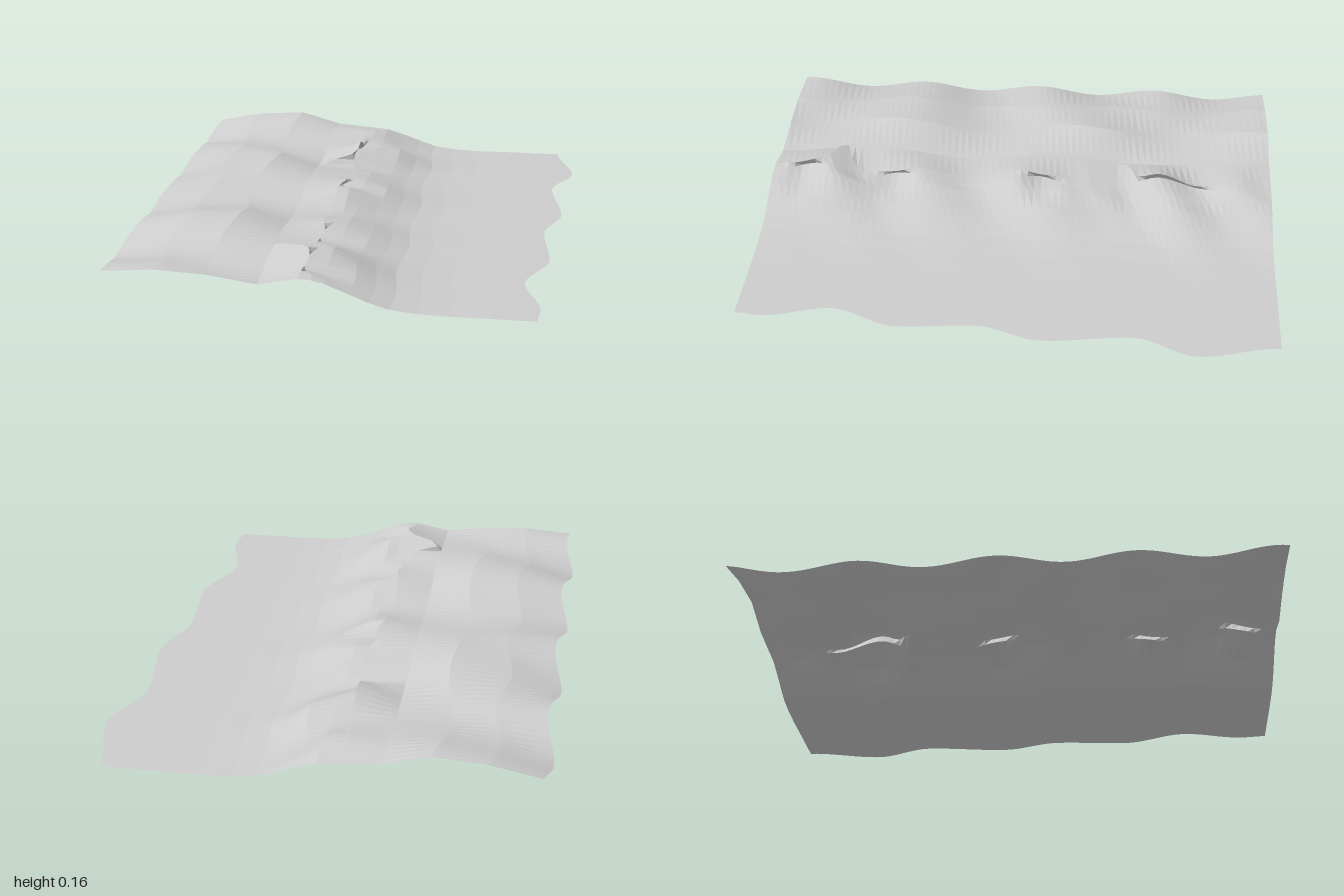
import * as THREE from 'three';

// smooth value along z through [z, value] pairs sorted by rising z
function track(points) {
  return (z) => {
    const n = points.length;
    let i = 0;
    while (i < n - 2 && z > points[i + 1][0]) i++;
    const [z0, v0] = points[i], [z1, v1] = points[i + 1];
    const t = THREE.MathUtils.clamp((z - z0) / (z1 - z0), 0, 1);
    return v0 + (v1 - v0) * t * t * (3 - 2 * t);
  };
}

const wave = (z, peak, period) => Math.cos((2 * Math.PI * (z - peak)) / period);
const bump = (z, centre, width) => Math.exp(-(((z - centre) / width) ** 2));

// height of the breaking crest along the shore
const crest = track([[-1, 0.1], [-0.87, 0.12], [-0.72, 0.1], [-0.55, 0.155], [-0.38, 0.085],
  [-0.25, 0.1], [-0.03, 0.135], [0.2, 0.085], [0.42, 0.125], [0.62, 0.1], [0.8, 0.16], [1, 0.115]]);
// how far the crest curls over
const curl = track([[-0.85, 0], [-0.65, 1], [-0.45, 0.8], [-0.35, 0], [-0.2, 0], [-0.08, 1], [0.02, 0],
  [0.4, 0], [0.5, 1], [0.62, 0], [0.75, 0], [0.87, 1], [0.97, 0]]);
// wavy edge of the flat wash on the beach
const shore = track([[-1, 0.755], [-0.7, 0.82], [-0.47, 0.735], [-0.13, 0.775], [0.1, 0.71],
  [0.4, 0.735], [0.65, 0.65], [0.9, 0.71], [1, 0.7]]);

// swell rows behind the crest
const edgeY = (z) => 0.09 + 0.027 * wave(z, 0.95, 0.5);
const swellY = (z) => 0.13 + 0.03 * wave(z, 0.5, 0.75);
const edgeX = (z) => 0.019 * wave(z, 0.92, 0.5);
const troughY = (z) => 0.103 + 0.016 * wave(z, 0.6, 0.75) + 0.1 * (crest(z) - 0.11);
// narrow notches torn back into the crest
const notch = (z) => 0.13 * (bump(z, -0.42, 0.04) + bump(z, 0.73, 0.035));
// the face of the wave runs diagonally towards the back
const face = (x, scale) => (z) => [x + 0.01 * wave(z, 0.87, 0.5), scale * crest(z + 0.5 * (x + 0.1))];

// cross-section rows from open water to shore, each giving [x, y] for a z
const rows = [
  (z) => [-0.806 + edgeX(z), edgeY(z)],
  (z) => [-0.62 + edgeX(z), 0.012 + 0.5 * (edgeY(z) + swellY(z))],
  (z) => [-0.43 + 0.02 * wave(z, 0.4, 0.75), swellY(z)],
  (z) => [-0.25, troughY(z)],
  (z) => [-0.11 + 0.02 * curl(z) - notch(z), crest(z)],
  (z) => [-0.065 - 0.055 * curl(z), crest(z) * (0.97 - 0.2 * curl(z))],
  (z) => [-0.02 - 0.01 * curl(z), crest(z + 0.04) * (0.88 - 0.18 * curl(z))],
  face(0.06, 0.6),
  face(0.13, 0.35),
  face(0.2, 0.16),
  face(0.29, 0.065),
  face(0.4, 0.025),
  (z) => [0.55, 0.002],
  (z) => [shore(z), 0],
];

function createWaterGeometry() {
  const steps = 72;
  const positions = [], index = [];
  rows.forEach((row, i) => {
    for (let j = 0; j <= steps; j++) {
      const z = -1 + (2 * j) / steps;
      const [x, y] = row(z);
      positions.push(x, y, z);
      if (i < rows.length - 1 && j < steps) {
        const a = i * (steps + 1) + j, b = a + steps + 1;
        index.push(a, a + 1, b, a + 1, b + 1, b);
      }
    }
  });
  const geometry = new THREE.BufferGeometry();
  geometry.setAttribute('position', new THREE.Float32BufferAttribute(positions, 3));
  geometry.setIndex(index);
  geometry.computeVertexNormals();
  return geometry;
}

export function createModel() {
  const group = new THREE.Group();
  group.name = 'breakingWave';

  const water = new THREE.MeshStandardMaterial({ color: 0xcccccc, flatShading: true, side: THREE.DoubleSide });
  water.name = 'paleGrey';

  // one open sheet: swell, crest, face and beach wash
  const surface = new THREE.Mesh(createWaterGeometry(), water);
  surface.name = 'waterSurface';
  group.add(surface);
  return group;
}
